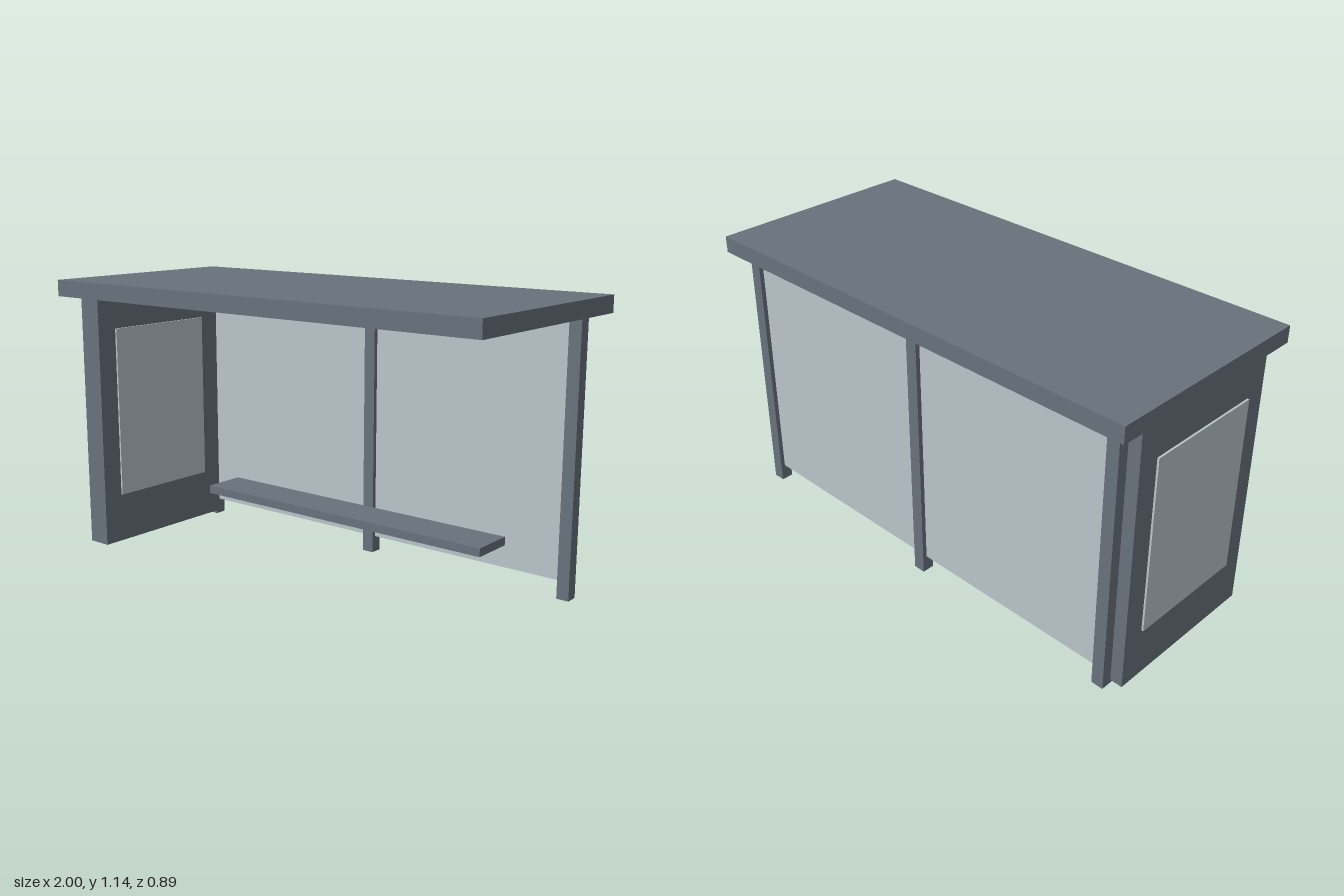
import * as THREE from 'three';

export function createModel() {
  const group = new THREE.Group();
  const metal = new THREE.MeshStandardMaterial({ color: 0x68727c });
  metal.name = 'slate metal';
  const glass = new THREE.MeshStandardMaterial({ color: 0xb8c4ca });
  glass.name = 'pale glass';

  // Box given by its lower and upper limit on each axis
  function addBox(name, material, [x0, x1], [y0, y1], [z0, z1]) {
    const mesh = new THREE.Mesh(new THREE.BoxGeometry(x1 - x0, y1 - y0, z1 - z0), material);
    mesh.position.set((x0 + x1) / 2, (y0 + y1) / 2, (z0 + z1) / 2);
    mesh.name = name;
    group.add(mesh);
  }

  const roofBase = 1.077;
  addBox('roof', metal, [-1, 1], [roofBase, 1.143], [-0.446, 0.446]);

  // Three posts along the back
  for (const x of [-0.913, 0, 0.913]) {
    addBox('backPost', metal, [x - 0.025, x + 0.025], [0, roofBase], [-0.382, -0.331]);
  }

  // Glazed back wall, set in the middle of the posts
  addBox('backGlass', glass, [-0.893, 0.893], [0.067, 1.047], [-0.364, -0.349]);

  // Solid end wall with a display pane standing slightly proud on both faces
  addBox('endWall', metal, [-0.988, -0.888], [0.013, roofBase], [-0.339, 0.339]);
  addBox('displayPane', glass, [-0.996, -0.88], [0.218, 0.934], [-0.25, 0.25]);

  addBox('benchSeat', metal, [-0.693, 0.693], [0.185, 0.219], [-0.272, -0.091]);

  return group;
}
